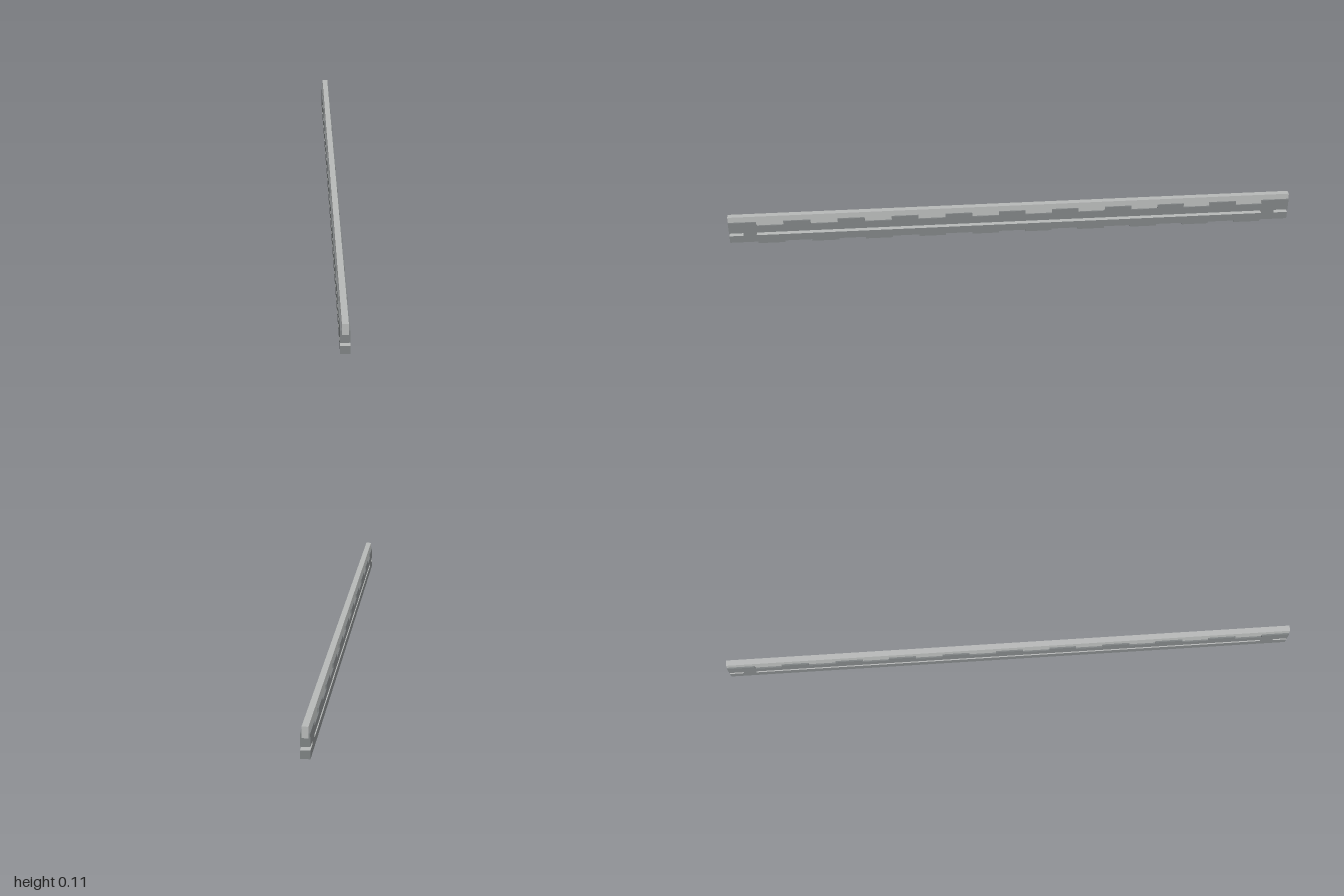
import * as THREE from 'three';

export function createModel() {
  const group = new THREE.Group();
  const dark = new THREE.MeshStandardMaterial({ color: 0x7d8182 });
  const light = new THREE.MeshStandardMaterial({ color: 0xb6b8b7 });
  const add = (name, geometry, material, x = 0, y = 0, z = 0, parent = group) => {
    const mesh = new THREE.Mesh(geometry, material);
    mesh.name = name;
    mesh.position.set(x, y, z);
    parent.add(mesh);
  };
  const addGroup = (name) => {
    const part = new THREE.Group();
    part.name = name;
    group.add(part);
    return part;
  };
  const rail = 0.01, half = 0.015;         // half widths of the rail and body
  const slotLow = 0.037, slotHigh = 0.048; // heights of the slot and end notches
  const pitch = 0.19, tooth = pitch / 2;

  // Long bar, drawn from the side, with open end notches and a through slot
  const points = (list) => list.map(([z, y]) => new THREE.Vector2(z, y));
  const side = new THREE.Shape(points([
    [-1, 0.01], [1, 0.01], [1, slotLow], [0.95, slotLow], [0.95, slotHigh], [1, slotHigh],
    [1, 0.075], [-1, 0.075], [-1, slotHigh], [-0.95, slotHigh], [-0.95, slotLow], [-1, slotLow],
  ]));
  side.holes.push(new THREE.Path(points([
    [-0.905, slotLow], [-0.905, slotHigh], [0.905, slotHigh], [0.905, slotLow],
  ])));
  const bar = new THREE.ExtrudeGeometry(side, { depth: 2 * half, bevelEnabled: false });
  bar.translate(0, 0, -half).rotateY(-Math.PI / 2);

  // Walls inside the slot and notches are light, all other faces dark
  const [caps, walls] = bar.groups;
  const position = bar.getAttribute('position');
  bar.clearGroups();
  bar.addGroup(caps.start, caps.count, 0);
  for (let start = walls.start; start < walls.start + walls.count; start += 6) {
    let inside = true;
    for (let i = start; i < start + 6; i++) {
      const y = position.getY(i);
      inside = inside && y > slotLow - 0.001 && y < slotHigh + 0.001;
    }
    bar.addGroup(start, 6, inside ? 1 : 0);
  }
  add('slottedBar', bar, [dark, light]);

  // Narrow light rail along the top
  add('topRail', new THREE.BoxGeometry(2 * rail, 0.036, 2), light, 0, 0.093, 0);

  // Raised teeth on both sides of the rail; the end ones reach the bar's ends
  const teeth = addGroup('railTeeth');
  for (let i = -5; i <= 5; i++) {
    const start = i === -5 ? -1 : i * pitch - tooth / 2;
    const end = i === 5 ? 1 : i * pitch + tooth / 2;
    for (const s of [-1, 1]) {
      add('railTooth', new THREE.BoxGeometry(half - rail, 0.015, end - start), dark,
        s * (rail + half) / 2, 0.0825, (start + end) / 2, teeth);
    }
  }

  // Tabs under the bar, set between the upper teeth
  const tabs = addGroup('bottomTabs');
  for (let i = 0; i < 10; i++) {
    add('bottomTab', new THREE.BoxGeometry(2 * rail, 0.01, tooth), dark,
      0, 0.005, (i - 4.5) * pitch, tabs);
  }
  return group;
}
